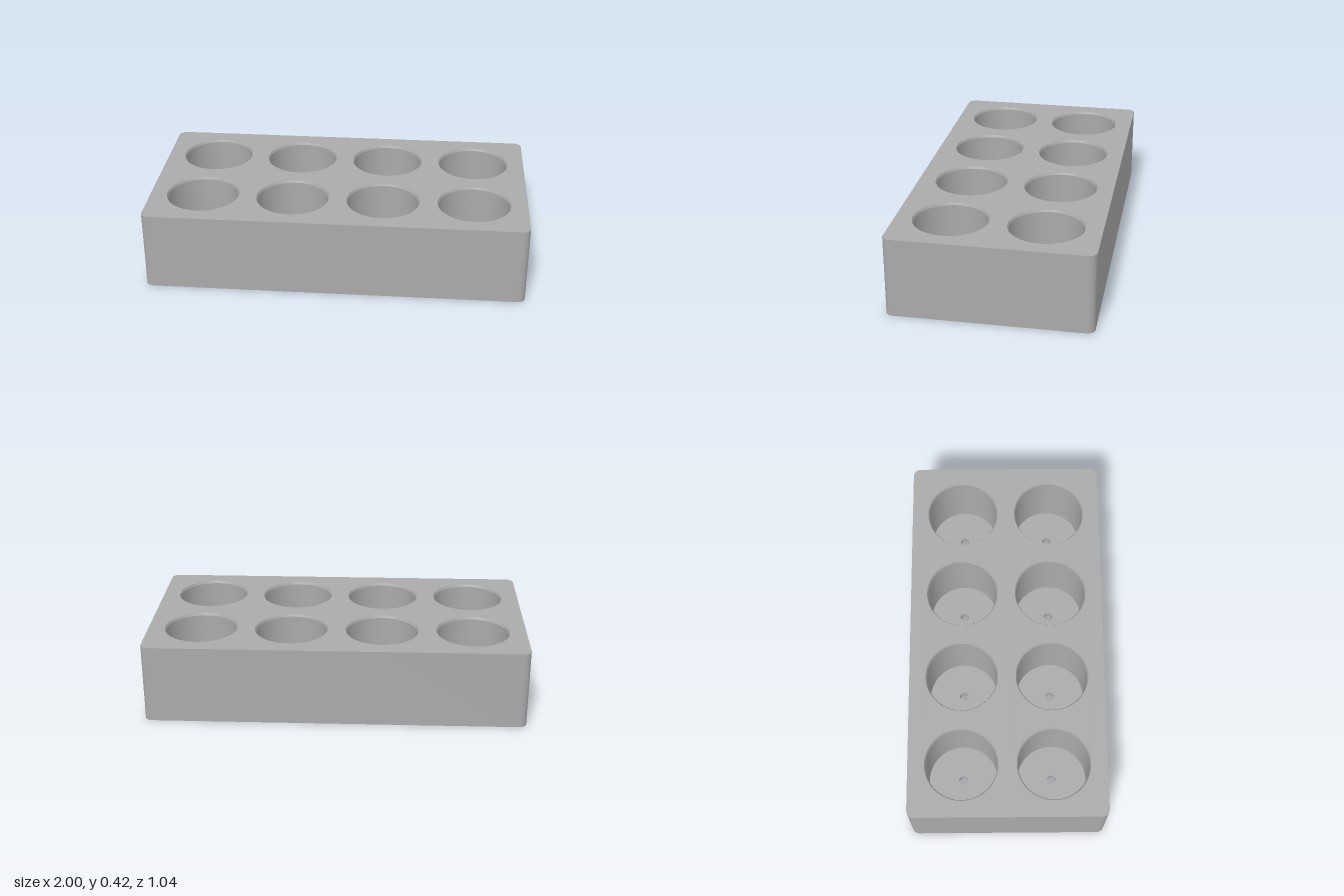
import * as THREE from 'three';
import { toCreasedNormals } from 'three/addons/utils/BufferGeometryUtils.js';

const W = 2, D = 1.04, H = 0.417, CORNER = 0.04;   // block
const RIM = 0.193, BORE = 0.187, CHAMFER = 0.013;  // pockets
const FLOOR = 0.045, DRAIN = 0.024, SEGMENTS = 64;

const centres = [];
for (const z of [-0.24, 0.24]) {
  for (const x of [-0.72, -0.24, 0.24, 0.72]) centres.push([x, z]);
}

// Rounded rectangle, optionally pierced by a circle at every pocket centre
function outline(holeRadius) {
  const x = W / 2, y = D / 2, r = CORNER;
  const s = new THREE.Shape();
  s.moveTo(-x + r, -y);
  s.lineTo(x - r, -y);
  s.absarc(x - r, -y + r, r, -Math.PI / 2, 0);
  s.lineTo(x, y - r);
  s.absarc(x - r, y - r, r, 0, Math.PI / 2);
  s.lineTo(-x + r, y);
  s.absarc(-x + r, y - r, r, Math.PI / 2, Math.PI);
  s.lineTo(-x, -y + r);
  s.absarc(-x + r, -y + r, r, Math.PI, Math.PI * 1.5);
  if (holeRadius) {
    for (const [cx, cz] of centres) {
      s.holes.push(new THREE.Path().absarc(cx, cz, holeRadius, 0, Math.PI * 2, true));
    }
  }
  return s;
}

// Outer wall only: the side faces of an extrusion, without its caps
function wallGeometry() {
  const solid = new THREE.ExtrudeGeometry(outline(), { depth: H, bevelEnabled: false, curveSegments: 12 });
  const { start, count } = solid.groups[1];
  const position = solid.getAttribute('position').array.slice(start * 3, (start + count) * 3);
  const wall = new THREE.BufferGeometry();
  wall.setAttribute('position', new THREE.BufferAttribute(position, 3));
  wall.rotateX(-Math.PI / 2);
  return toCreasedNormals(wall, 0.6);
}

export function createModel() {
  const group = new THREE.Group();
  group.name = 'pocketTray';
  const grey = new THREE.MeshStandardMaterial({ color: 0xaaaaaa });
  grey.name = 'grey';

  const add = (geometry, name) => {
    const mesh = new THREE.Mesh(geometry, grey);
    mesh.name = name;
    group.add(mesh);
    return mesh;
  };

  add(wallGeometry(), 'outerWall');

  // Top face with pocket openings, underside with drain holes
  const top = new THREE.ShapeGeometry(outline(RIM), SEGMENTS);
  add(top.rotateX(-Math.PI / 2).translate(0, H, 0), 'topFace');
  add(new THREE.ShapeGeometry(outline(DRAIN), SEGMENTS).rotateX(Math.PI / 2), 'underside');

  // Pocket lining: chamfered rim, bore, floor and drain hole, facing inwards
  const profile = [
    [RIM, H], [BORE, H - CHAMFER], [BORE, FLOOR], [DRAIN, FLOOR], [DRAIN, 0],
  ].map(([r, y]) => new THREE.Vector2(r, y));
  const lining = toCreasedNormals(new THREE.LatheGeometry(profile, SEGMENTS), 0.3);
  centres.forEach(([x, z], i) => add(lining, `pocket${i + 1}`).position.set(x, 0, z));

  return group;
}
